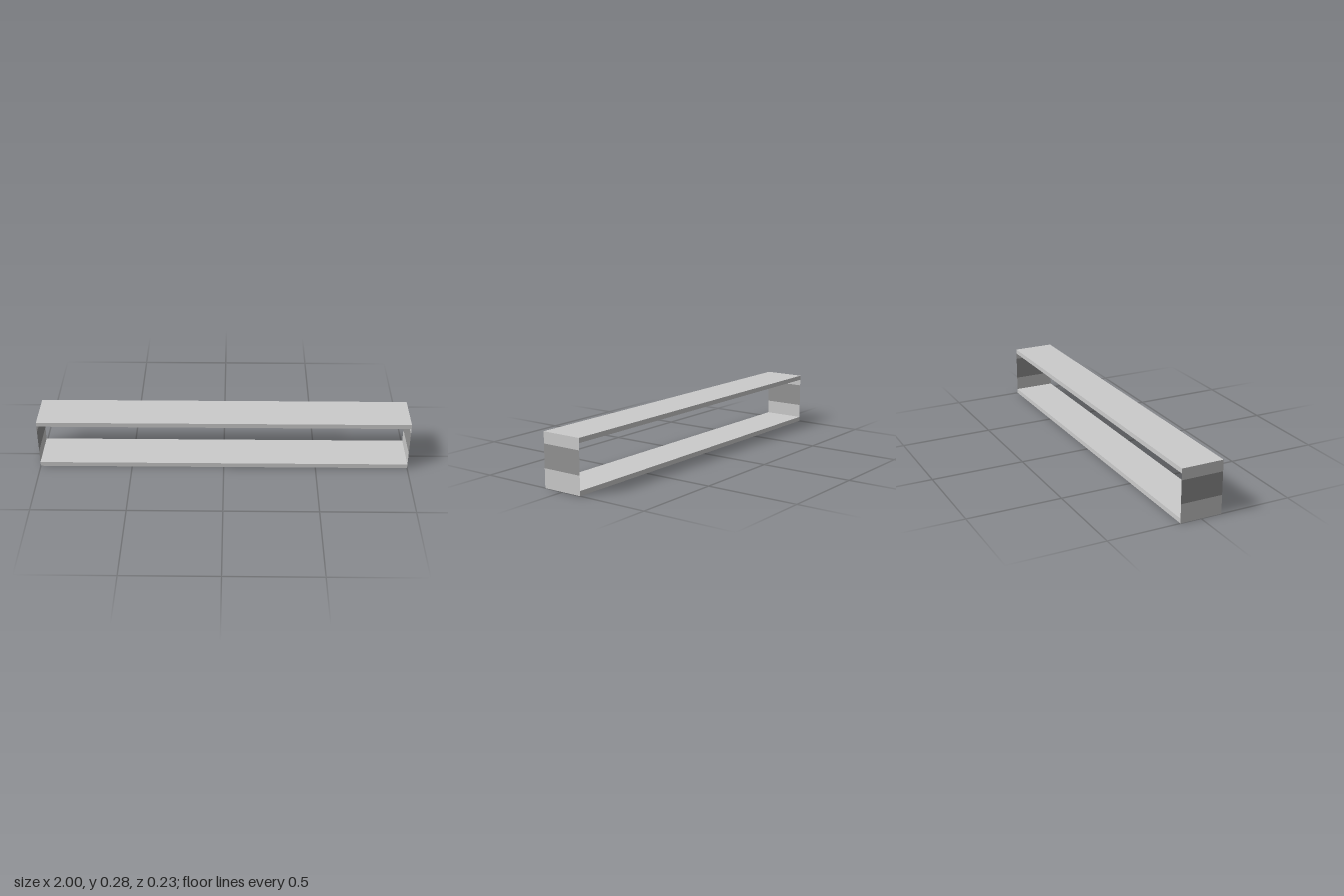
import * as THREE from 'three';

export function createModel() {
  const group = new THREE.Group();
  const grey = new THREE.MeshStandardMaterial({ color: 0xcccccc });
  const sheet = new THREE.MeshStandardMaterial({ color: 0xcccccc, side: THREE.DoubleSide });
  const darkSheet = new THREE.MeshStandardMaterial({ color: 0x949494, side: THREE.DoubleSide });

  const length = 2, depth = 0.227, board = 0.025, height = 0.283;

  function add(name, geometry, material, x, y, z) {
    const mesh = new THREE.Mesh(geometry, material);
    mesh.name = name;
    mesh.position.set(x, y, z);
    group.add(mesh);
    return mesh;
  }

  // Bottom and top boards
  const boardGeometry = new THREE.BoxGeometry(length, board, depth);
  add('bottomBoard', boardGeometry, grey, 0, board / 2, 0);
  add('topBoard', boardGeometry, grey, 0, height - board / 2, 0);

  // Thin end panels, each in three bands with a darker middle
  const bands = [
    ['endPanelLower', board, 0.1, sheet],
    ['endPanelMiddle', 0.1, 0.223, darkSheet],
    ['endPanelUpper', 0.223, height, sheet],
  ];
  for (const side of [-1, 1]) {
    for (const [name, y0, y1, material] of bands) {
      const panel = add(name, new THREE.PlaneGeometry(depth, y1 - y0), material, side, (y0 + y1) / 2, 0);
      panel.rotation.y = side * Math.PI / 2;
    }
  }

  // Two staggered rows of slim strips under the top board
  const stripLength = 0.276, pitch = 0.375;
  const stripGeometry = new THREE.BoxGeometry(stripLength, 0.003, 0.007);
  for (const [shift, z] of [[-0.079, 0.076], [0.079, -0.028]]) {
    for (let i = -2; i <= 2; i++) {
      add('underStrip', stripGeometry, grey, i * pitch + shift, 0.247, z);
    }
  }
  return group;
}
